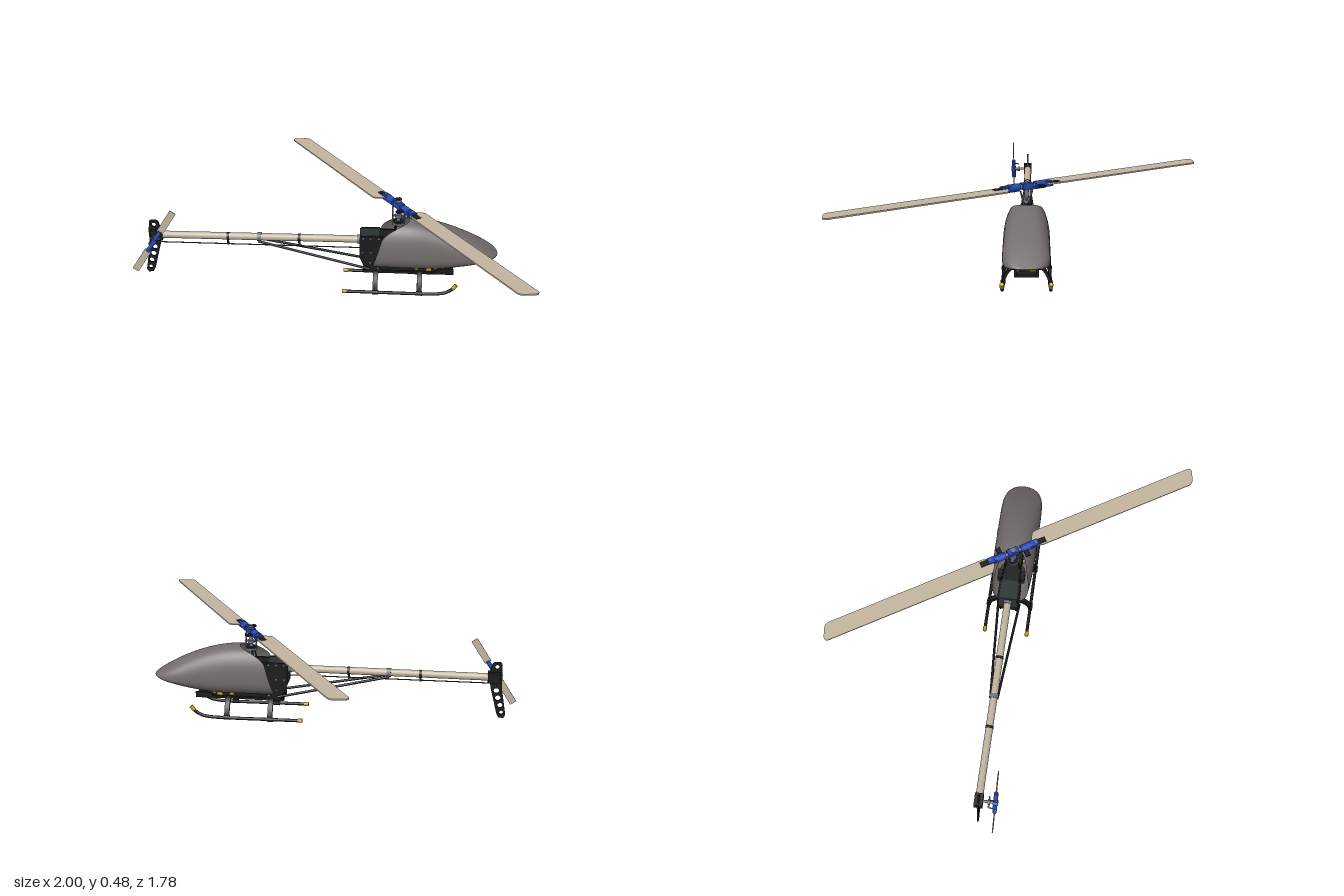
import * as THREE from 'three';

const mat = (name, color, side = THREE.FrontSide) => {
  const m = new THREE.MeshStandardMaterial({ color, side });
  m.name = name;
  return m;
};

export function createModel() {
  const model = new THREE.Group();
  const shell = mat('canopy grey', 0x736d6d, THREE.DoubleSide);
  const beige = mat('blade beige', 0xc2b59f);
  const black = mat('carbon black', 0x1b1b1d);
  const dark = mat('frame dark', 0x2b3232);
  const steel = mat('steel', 0x737985);
  const blue = mat('anodised blue', 0x2449b8);
  const yellow = mat('yellow', 0xc9a21e);

  // Helpers
  const add = (name, geo, material, x = 0, y = 0, z = 0, parent = model) => {
    const m = new THREE.Mesh(geo, material);
    m.name = name;
    m.position.set(x, y, z);
    parent.add(m);
    return m;
  };
  const box = (name, material, w, h, d, x, y, z, parent) =>
    add(name, new THREE.BoxGeometry(w, h, d), material, x, y, z, parent);
  const rod = (name, material, r, a, b, parent = model, sides = 16) => {
    const p = new THREE.Vector3(...a), q = new THREE.Vector3(...b);
    const m = add(name, new THREE.CylinderGeometry(r, r, p.distanceTo(q), sides), material, 0, 0, 0, parent);
    m.position.copy(p).lerp(q, 0.5);
    m.quaternion.setFromUnitVectors(new THREE.Vector3(0, 1, 0), q.sub(p).normalize());
    return m;
  };
  const tube = (name, material, r, pts) => add(name, new THREE.TubeGeometry(
    new THREE.CatmullRomCurve3(pts.map(p => new THREE.Vector3(...p))), 32, r, 10), material);
  const plate = (shape, depth) => new THREE.ExtrudeGeometry(shape, { depth, bevelEnabled: false, curveSegments: 12 })
    .translate(0, 0, -depth / 2);
  const outline = pts => new THREE.Shape(pts.map(p => new THREE.Vector2(...p)));
  const hole = (shape, x, y, r) => shape.holes.push(new THREE.Path().absarc(x, y, r, 0, Math.PI * 2, true));

  // Canopy: open-backed shell, wedge-shaped in profile and blunt in plan
  const N = 40, M = 48, pos = [], idx = [];
  const section = (x, t) => {
    const top = 0.388 - 0.175 * Math.pow(Math.max(0, (x - 0.43) / 0.47), 1.85)
      - 0.6 * Math.pow(Math.max(0, 0.43 - x), 2);
    const bot = 0.128 + 0.083 * Math.pow(Math.max(0, (x - 0.5) / 0.4), 2);
    const w = 0.112 * Math.sqrt(Math.max(0, 1 - Math.pow(Math.max(0, (x - 0.6) / 0.3), 6)))
      - 0.3 * Math.pow(Math.max(0, 0.5 - x), 2);
    const mid = bot + (top - bot) * 0.36, c = Math.cos(t), s = Math.sin(t);
    return [Math.sign(c) * w * Math.pow(Math.abs(c), 0.72),
      mid + Math.sign(s) * (s > 0 ? top - mid : mid - bot) * Math.pow(Math.abs(s), 0.85)];
  };
  for (let i = 0; i <= N; i++) {
    for (let j = 0; j < M; j++) {
      const t = j / M * Math.PI * 2;
      const y0 = section(0.4, t)[1];
      const start = 0.245 + 0.28 * (y0 - 0.13) + 20 * Math.pow(Math.max(0, y0 - 0.31), 2);
      const x = start + (0.9 - start) * Math.sin(i / N * Math.PI / 2);
      const [z, y] = section(x, t);
      pos.push(x, y, z);
      if (i < N) {
        const a = i * M + j, b = i * M + (j + 1) % M;
        idx.push(a, a + M, b, b, a + M, b + M);
      }
    }
  }
  const canopy = new THREE.BufferGeometry();
  canopy.setAttribute('position', new THREE.Float32BufferAttribute(pos, 3));
  canopy.setIndex(idx);
  canopy.computeVertexNormals();
  add('canopy', canopy, shell);

  // Chassis: side plates with lightening holes, decks, gear and motor
  for (const z of [-0.042, 0.042]) {
    const side = outline([[0.2, 0.1], [0.62, 0.1], [0.62, 0.14], [0.5, 0.2], [0.47, 0.31], [0.22, 0.31]]);
    for (let i = 0; i < 4; i++) hole(side, 0.31 + i * 0.045, 0.18 + (i % 2) * 0.07, 0.018);
    add('framePlate', plate(side, 0.006), black, 0, 0, z);
  }
  box('bottomTray', black, 0.47, 0.012, 0.112, 0.44, 0.106, 0);
  box('battery', dark, 0.25, 0.045, 0.075, 0.5, 0.135, 0);
  box('upperDeck', black, 0.22, 0.012, 0.09, 0.35, 0.3, 0);
  box('rearBulkhead', dark, 0.02, 0.14, 0.075, 0.24, 0.22, 0);
  add('mainGear', new THREE.CylinderGeometry(0.07, 0.07, 0.012, 32), dark, 0.37, 0.22, 0);
  for (const [x, y, w] of [[0.545, 0.125, 0.025], [0.58, 0.135, 0.02], [0.61, 0.12, 0.03], [0.48, 0.13, 0.02]])
    box('connector', yellow, w, 0.016, 0.104, x, y, 0);
  for (const z of [-0.052, 0.052]) box('receiver', black, 0.09, 0.03, 0.012, 0.63, 0.115, z);

  // Boom mount block with screws
  box('boomBlock', dark, 0.105, 0.12, 0.095, 0.235, 0.25, 0);
  for (const s of [-1, 1]) {
    const cheek = outline([[0.182, 0.19], [0.2, 0.15], [0.22, 0.11], [0.3, 0.11], [0.3, 0.3], [0.285, 0.312], [0.19, 0.312], [0.182, 0.3]]);
    add('blockCheek', plate(cheek, 0.008), black, 0, 0, s * 0.052);
    for (const [x, y] of [[0.2, 0.3], [0.24, 0.3], [0.28, 0.3], [0.2, 0.22], [0.24, 0.22], [0.24, 0.16], [0.28, 0.13]])
      rod('screw', steel, 0.005, [x, y, s * 0.055], [x, y, s * 0.059], model, 8);
  }

  // Tail boom, bands and braces
  rod('tailBoom', beige, 0.019, [-0.88, 0.268, 0], [0.2, 0.268, 0], model, 28);
  for (const x of [-0.51, -0.135]) rod('boomBand', black, 0.021, [x - 0.007, 0.268, 0], [x + 0.007, 0.268, 0], model, 28);
  for (const x of [-0.345, 0.178]) rod('boomClamp', steel, 0.023, [x - 0.011, 0.268, 0], [x + 0.011, 0.268, 0], model, 28);
  for (const s of [-1, 1])
    rod('boomBrace', black, 0.0065, [-0.35, 0.25, s * 0.018], [0.235, 0.123, s * 0.058]);
  rod('tailPushrod', black, 0.003, [-0.88, 0.23, 0.012], [0.2, 0.224, 0.012], model, 8);
  for (const x of [-0.51, -0.135]) box('rodGuide', black, 0.01, 0.035, 0.008, x, 0.24, 0.008);

  // Tail fin and gearbox
  const fin = outline([[-0.955, 0.062], [-0.945, 0.044], [-0.92, 0.046], [-0.908, 0.07], [-0.872, 0.21], [-0.86, 0.28],
    [-0.876, 0.343], [-0.886, 0.35], [-0.915, 0.352], [-0.925, 0.343], [-0.93, 0.28], [-0.928, 0.22]]);
  for (const [x, y, r] of [[-0.933, 0.075, 0.01], [-0.925, 0.115, 0.013], [-0.912, 0.155, 0.014], [-0.902, 0.195, 0.014],
    [-0.9, 0.325, 0.011]]) hole(fin, x, y, r);
  add('tailFin', plate(fin, 0.008), black);
  box('tailGearbox', black, 0.065, 0.055, 0.044, -0.888, 0.268, 0);
  rod('tailShaft', steel, 0.007, [-0.888, 0.267, 0], [-0.888, 0.267, 0.095]);
  rod('tailSlider', steel, 0.014, [-0.888, 0.267, 0.045], [-0.888, 0.267, 0.058]);
  box('tailLever', steel, 0.055, 0.008, 0.008, -0.888, 0.267, 0.052);

  // Tail rotor
  const tail = new THREE.Group();
  tail.name = 'tailRotor';
  tail.position.set(-0.888, 0.267, 0.083);
  tail.rotation.z = 1.0;
  model.add(tail);
  rod('tailHub', blue, 0.015, [0, 0, -0.012], [0, 0, 0.014], tail);
  for (const s of [-1, 1]) {
    rod('tailGrip', blue, 0.011, [s * 0.008, 0, 0], [s * 0.068, 0, 0], tail);
    box('tailBlade', beige, 0.14, 0.036, 0.005, s * 0.132, 0, 0, tail);
    rod('tailLink', steel, 0.003, [s * 0.025, 0.015, -0.03], [s * 0.03, 0.015, 0], tail, 8);
  }

  // Mast, swashplate and links
  rod('mast', steel, 0.01, [0.38, 0.2, 0], [0.38, 0.485, 0]);
  rod('swashplate', steel, 0.032, [0.38, 0.362, 0], [0.38, 0.374, 0], model, 24);
  rod('swashplateRing', black, 0.026, [0.38, 0.374, 0], [0.38, 0.382, 0], model, 24);
  rod('mastCollar', steel, 0.018, [0.38, 0.4, 0], [0.38, 0.415, 0]);
  box('followerArm', steel, 0.065, 0.008, 0.014, 0.38, 0.41, 0);
  for (const s of [-1, 1]) {
    rod('controlLink', steel, 0.004, [0.38 + s * 0.03, 0.37, s * 0.01], [0.38 + s * 0.03, 0.45, s * 0.03], model, 8);
    rod('servoLink', black, 0.004, [0.36, 0.3, s * 0.04], [0.37, 0.366, s * 0.03], model, 8);
    box('servo', black, 0.05, 0.045, 0.025, 0.33, 0.27, s * 0.06);
  }

  // Main rotor head and two blades
  const rotor = new THREE.Group();
  rotor.name = 'mainRotor';
  rotor.position.set(0.38, 0.467, 0);
  rotor.rotation.y = -1.018;
  model.add(rotor);
  box('headBlock', blue, 0.06, 0.03, 0.034, 0, 0.002, 0, rotor);
  rod('headCap', steel, 0.013, [0, 0.01, 0], [0, 0.022, 0], rotor);
  const blade = outline([[0.115, -0.012], [0.16, -0.024], [1.01, -0.024]]);
  blade.quadraticCurveTo(1.03, -0.024, 1.04, -0.005);
  blade.lineTo(1.061, 0.04);
  blade.quadraticCurveTo(1.067, 0.066, 1.045, 0.066);
  blade.lineTo(0.155, 0.066);
  blade.quadraticCurveTo(0.13, 0.064, 0.115, 0.02);
  const bladeGeo = plate(blade, 0.007).rotateX(-Math.PI / 2);
  for (let i = 0; i < 2; i++) {
    const arm = new THREE.Group();
    arm.name = 'rotorArm';
    arm.rotation.y = i * Math.PI;
    rotor.add(arm);
    add('mainBlade', bladeGeo, beige, 0, 0, 0, arm);
    rod('spindle', steel, 0.01, [0.02, 0, 0], [0.06, 0, 0], arm);
    rod('bladeGrip', blue, 0.02, [0.045, 0, 0], [0.105, 0, 0], arm);
    for (const y of [-0.009, 0.009]) box('gripFork', blue, 0.05, 0.008, 0.034, 0.117, y, 0, arm);
    rod('gripBolt', steel, 0.007, [0.128, -0.016, 0], [0.128, 0.016, 0], arm);
    box('pitchArm', black, 0.025, 0.01, 0.045, 0.065, 0, 0.03, arm);
    box('bladeRoot', black, 0.06, 0.012, 0.03, 0.155, 0, 0, arm);
  }

  // Landing gear: skids with yellow tips and bowed legs
  for (const s of [-1, 1]) {
    const z = s * 0.115;
    tube('skid', black, 0.0085, [[0.11, 0.018, z], [0.3, 0.016, z], [0.5, 0.014, z], [0.59, 0.016, z],
      [0.635, 0.025, z], [0.665, 0.043, z], [0.678, 0.058, z]]);
    rod('skidRearTip', yellow, 0.0105, [0.095, 0.019, z], [0.118, 0.018, z]);
    rod('skidFrontTip', yellow, 0.0105, [0.672, 0.05, z], [0.688, 0.071, z]);
    for (const x of [0.268, 0.498]) {
      const leg = outline([[0.045, 0.112], [0.045, 0.1]]);
      leg.quadraticCurveTo(0.095, 0.08, 0.107, 0.012);
      leg.lineTo(0.121, 0.012);
      leg.quadraticCurveTo(0.108, 0.09, 0.055, 0.112);
      const m = add('skidLeg', plate(leg, 0.026), black, x, 0, 0);
      m.rotation.y = -s * Math.PI / 2;
      rod('skidClamp', black, 0.012, [x - 0.016, 0.016, z], [x + 0.016, 0.016, z]);
    }
  }
  for (const x of [0.268, 0.498]) box('skidCrossbar', black, 0.026, 0.012, 0.1, x, 0.102, 0);

  return model;
}
